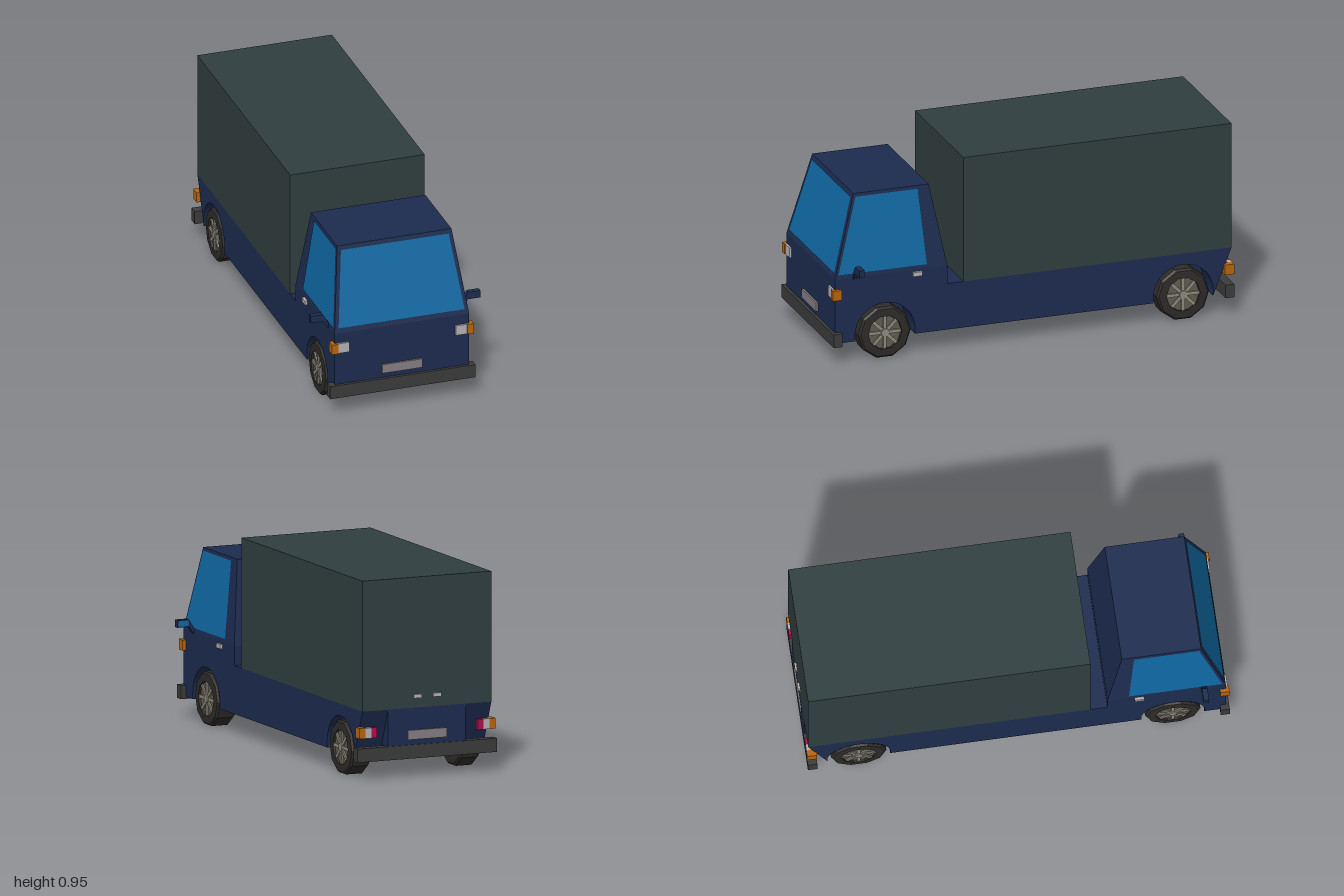
import * as THREE from 'three';

const paint = (color, extra = {}) => new THREE.MeshStandardMaterial({ color, flatShading: true, ...extra });
const MAT = {
  body: paint(0x1c2b4f), cargo: paint(0x303e3f), glass: paint(0x0f68a2, { side: THREE.DoubleSide }),
  bumper: paint(0x3b3b3b), tyre: paint(0x2d2b28), rim: paint(0x5f5c50), spoke: paint(0x8e8a7c),
  amber: paint(0xb9650c), lamp: paint(0xb5b0b5), red: paint(0xb00f4c), plate: paint(0x857d82),
};
const AXLES = [0.735, -0.75];
const HUB_Y = 0.125;

export function createModel() {
  const root = new THREE.Group();
  root.name = 'boxTruck';

  const add = (name, geometry, material, parent = root) => {
    const mesh = new THREE.Mesh(geometry, material);
    mesh.name = name;
    parent.add(mesh);
    return mesh;
  };
  // Box given by its extents on each axis
  const box = (name, [x0, x1], [y0, y1], [z0, z1], material) => {
    const g = new THREE.BoxGeometry(Math.abs(x1 - x0), y1 - y0, z1 - z0);
    g.translate((x0 + x1) / 2, (y0 + y1) / 2, (z0 + z1) / 2);
    return add(name, g, material);
  };
  // Flat four-cornered panel
  const quad = (name, corners, material) => {
    const g = new THREE.BufferGeometry();
    g.setAttribute('position', new THREE.Float32BufferAttribute(corners.flat(), 3));
    g.setIndex([0, 1, 2, 0, 2, 3]);
    g.computeVertexNormals();
    return add(name, g, material);
  };

  // Lower body: solid core between two side panels with wheel arches
  const profile = (arches) => {
    const s = new THREE.Shape();
    s.moveTo(-0.99, 0.1);
    if (arches) {
      const a = Math.asin(0.025 / 0.15);
      for (const z of [...AXLES].reverse()) s.absarc(z, HUB_Y, 0.15, Math.PI + a, -a, true);
    }
    s.lineTo(0.985, 0.1);
    s.lineTo(0.985, 0.42);
    s.lineTo(0.425, 0.42);
    s.lineTo(0.425, 0.33);
    s.lineTo(-0.99, 0.33);
    return s;
  };
  const extrudeAcross = (shape, x0, x1) => {
    const g = new THREE.ExtrudeGeometry(shape, { depth: x1 - x0, bevelEnabled: false, curveSegments: 10 });
    return g.rotateY(-Math.PI / 2).translate(x1, 0, 0);
  };
  add('bodyCore', extrudeAcross(profile(false), -0.2, 0.2), MAT.body);
  add('leftBodyPanel', extrudeAcross(profile(true), 0.2, 0.333), MAT.body);
  add('rightBodyPanel', extrudeAcross(profile(true), -0.333, -0.2), MAT.body);

  // Upper cab: box narrowed towards the roof
  const cab = new THREE.BoxGeometry(2, 2, 2);
  const p = cab.attributes.position;
  for (let i = 0; i < p.count; i++) {
    const top = p.getY(i) > 0, front = p.getZ(i) > 0;
    p.setXYZ(i, Math.sign(p.getX(i)) * (top ? 0.283 : 0.333), top ? 0.82 : 0.42,
      front ? (top ? 0.875 : 0.985) : (top ? 0.5 : 0.425));
  }
  cab.computeVertexNormals();
  add('upperCab', cab, MAT.body);

  // Windows lie just proud of the sloping cab faces
  const frontZ = (y) => 0.988 - (y - 0.42) * 0.275;
  const sideX = (y) => 0.336 - (y - 0.42) * 0.125;
  quad('windscreen', [[-0.312, 0.444, frontZ(0.444)], [0.312, 0.444, frontZ(0.444)],
    [0.267, 0.8, frontZ(0.8)], [-0.267, 0.8, frontZ(0.8)]], MAT.glass);
  for (const s of [1, -1]) {
    const corners = [[0.968, 0.44], [0.527, 0.44], [0.557, 0.805], [0.866, 0.805]]
      .map(([z, y]) => [s * sideX(y), y, z]);
    quad('sideWindow', s > 0 ? corners : corners.reverse(), MAT.glass);
  }

  // Cargo box with rear handles
  box('cargoBox', [-0.333, 0.333], [0.33, 0.95], [-0.99, 0.345], MAT.cargo);
  for (const s of [1, -1]) {
    box('cargoHandle', [s * 0.05 - 0.02, s * 0.05 + 0.02], [0.376, 0.394], [-1, -0.988], MAT.lamp);
  }

  // Bumpers and plates
  box('frontBumper', [-0.36, 0.36], [0.09, 0.155], [0.957, 1], MAT.bumper);
  box('rearBumper', [-0.36, 0.36], [0.09, 0.155], [-0.995, -0.95], MAT.bumper);
  box('frontPlate', [-0.1, 0.1], [0.18, 0.225], [0.98, 0.994], MAT.plate);
  box('rearPlate', [-0.1, 0.1], [0.18, 0.225], [-0.997, -0.985], MAT.plate);

  for (const s of [1, -1]) {
    // Lamps
    box('headlight', [s * 0.264, s * 0.32], [0.32, 0.37], [0.975, 0.995], MAT.lamp);
    box('frontIndicator', [s * 0.32, s * 0.351], [0.32, 0.37], [0.957, 1], MAT.amber);
    box('brakeLight', [s * 0.26, s * 0.29], [0.202, 0.252], [-0.997, -0.975], MAT.red);
    box('reverseLight', [s * 0.29, s * 0.32], [0.202, 0.252], [-0.997, -0.975], MAT.lamp);
    box('rearIndicator', [s * 0.32, s * 0.351], [0.202, 0.252], [-0.997, -0.95], MAT.amber);
    box('doorHandle', [s * 0.33, s * 0.347], [0.39, 0.411], [0.553, 0.598], MAT.lamp);

    // Wing mirror: bent arm and head with a glass on its rear face
    const outline = [[0.33, 0.405], [0.358, 0.447], [0.42, 0.447], [0.42, 0.483], [0.36, 0.483], [0.33, 0.43]];
    const shape = new THREE.Shape(outline.map(([x, y]) => new THREE.Vector2(s * x, y)));
    const mirror = new THREE.ExtrudeGeometry(shape, { depth: 0.026, bevelEnabled: false });
    add('wingMirror', mirror.translate(0, 0, 0.868), MAT.body);
    quad('mirrorGlass', [[0.415, 0.452], [0.364, 0.452], [0.364, 0.478], [0.415, 0.478]]
      .map(([x, y]) => [s * x, y, 0.866]), MAT.glass);

    // Wheels: ten-sided tyre, dished rim, spokes and hub
    for (const z of AXLES) {
      const wheel = new THREE.Group();
      wheel.name = z > 0 ? 'frontWheel' : 'rearWheel';
      wheel.position.set(s * 0.283, HUB_Y, z);
      wheel.rotation.z = -s * Math.PI / 2;
      root.add(wheel);
      const tyre = [[0, -0.05], [0.12, -0.05], [0.131, -0.04], [0.131, 0.04], [0.122, 0.05], [0.084, 0.052], [0.08, 0.03]]
        .map(([r, y]) => new THREE.Vector2(r, y));
      add('tyre', new THREE.LatheGeometry(tyre, 10), MAT.tyre, wheel);
      add('rim', new THREE.CylinderGeometry(0.083, 0.083, 0.02, 20).translate(0, 0.032, 0), MAT.rim, wheel);
      add('hub', new THREE.CylinderGeometry(0.02, 0.024, 0.014, 10).translate(0, 0.047, 0), MAT.spoke, wheel);
      for (let i = 0; i < 8; i++) {
        const spoke = new THREE.BoxGeometry(0.016, 0.008, 0.064).translate(0, 0.045, 0.048);
        add('spoke', spoke.rotateY((i * Math.PI) / 4), MAT.spoke, wheel);
      }
    }
  }
  return root;
}
